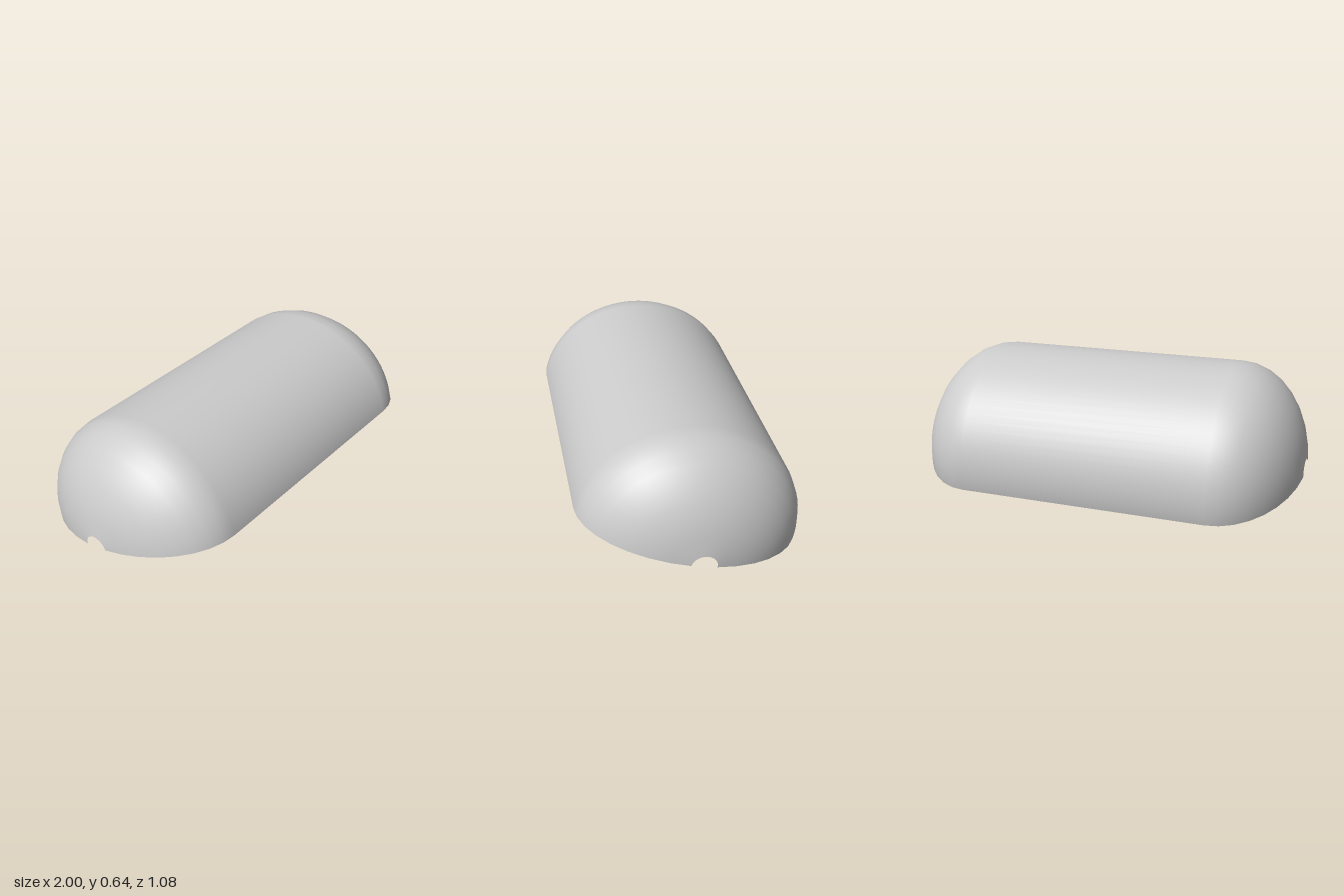
import * as THREE from 'three';

export function createModel() {
  const group = new THREE.Group();
  const mat = new THREE.MeshStandardMaterial({ color: 0xcccccc, side: THREE.DoubleSide });

  // Half-capsule shell: profile turned half way round the long axis.
  // The profile stops short of the axis, leaving a half-round notch at each end.
  const R = 0.551, NOTCH = 0.062, BODY = 0.63, CAP = 0.372, STEPS = 8;
  const end = [];
  const last = Math.acos(NOTCH / R);
  for (let i = 0; i <= STEPS; i++) {
    const a = (last * i) / STEPS;
    end.push(new THREE.Vector2(R * Math.cos(a), BODY + CAP * Math.sin(a)));
  }
  const mirrored = end.map((p) => new THREE.Vector2(p.x, -p.y)).reverse();
  const shellGeo = new THREE.LatheGeometry([...mirrored, ...end], 40, 0, Math.PI);
  shellGeo.rotateZ(Math.PI / 2);
  shellGeo.scale(1, 0.92, 1);
  const shell = new THREE.Mesh(shellGeo, mat);
  shell.name = 'shell';
  shell.rotation.x = -0.24;
  shell.position.set(0, 0.134, 0.007);
  group.add(shell);

  // Coarse ball under the shell, with flattened poles
  const BALL = 0.218;
  const ballProfile = [new THREE.Vector2(0, -BALL * Math.cos(Math.PI / 12))];
  for (let i = 0; i < 6; i++) {
    const a = Math.PI / 12 + (i * Math.PI) / 6;
    ballProfile.push(new THREE.Vector2(BALL * Math.sin(a), -BALL * Math.cos(a)));
  }
  ballProfile.push(new THREE.Vector2(0, BALL * Math.cos(Math.PI / 12)));
  const ball = new THREE.Mesh(new THREE.LatheGeometry(ballProfile, 12), mat);
  ball.name = 'ball';
  ball.position.set(0, 0.235, 0.03);
  group.add(ball);

  return group;
}
